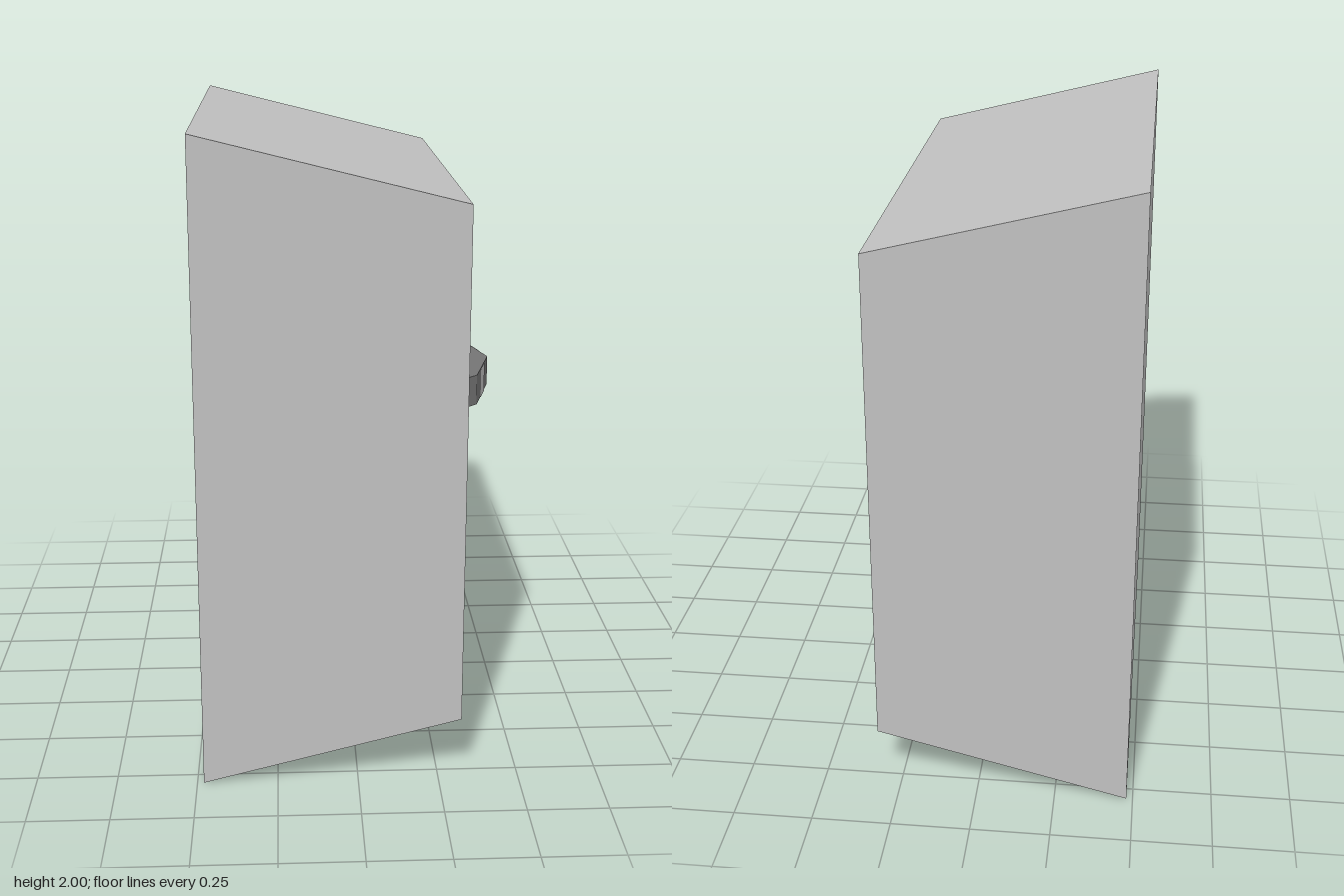
import * as THREE from 'three';

const material = (name, color, extra = {}) => {
  const m = new THREE.MeshStandardMaterial({ color, ...extra });
  m.name = name;
  return m;
};

export function createModel() {
  const model = new THREE.Group();
  model.name = 'utilityMeter';
  const casing = material('casing grey', 0xc0c0c0, { side: THREE.DoubleSide });
  const dark = material('dark grey', 0x747474, { flatShading: true });
  const red = material('red', 0x9a2c2c, { flatShading: true });

  const add = (parent, name, geometry, mat) => {
    const mesh = new THREE.Mesh(geometry, mat);
    mesh.name = name;
    parent.add(mesh);
    return mesh;
  };
  const group = (name) => {
    const g = new THREE.Group();
    g.name = name;
    model.add(g);
    return g;
  };
  const points = (list) => list.map(([x, y]) => new THREE.Vector2(x, y));
  // Flat shape on the +x face: shape x runs towards -z
  const onPanel = (shape, x) => new THREE.ShapeGeometry(shape).rotateY(Math.PI / 2).translate(x, 0, 0);
  const rect = (u0, y0, u1, y1) => [[u0, y0], [u1, y0], [u1, y1], [u0, y1]];

  // Hollow casing: a tapered profile with end walls, sloping top and bottom, and a back
  const profile = [[-0.48, 0], [0.32, 0.2], [0.32, 1.8], [-0.48, 2]];
  const quad = (corners) => {
    const g = new THREE.BufferGeometry();
    const order = [0, 1, 2, 0, 2, 3].flatMap((i) => corners[i]);
    g.setAttribute('position', new THREE.Float32BufferAttribute(order, 3));
    g.computeVertexNormals();
    return g;
  };
  const shell = group('casing');
  const end = (z) => profile.map(([x, y]) => [x, y, z]);
  add(shell, 'frontWall', quad(end(0.8)), casing);
  add(shell, 'rearWall', quad(end(-0.8).reverse()), casing);
  ['bottomWall', null, 'topWall', 'backWall'].forEach((name, i) => {
    if (!name) return;
    const a = profile[i], b = profile[(i + 1) % 4];
    add(shell, name, quad([[...a, 0.8], [...a, -0.8], [...b, -0.8], [...b, 0.8]]), casing);
  });

  // Face panel with counter, disc and pointer openings
  const panel = new THREE.Shape(points(rect(-0.8, 0.2, 0.8, 1.8)));
  panel.holes = [
    rect(-0.6, 1.4, 0.6, 1.6),
    rect(-0.4, 1.0, 0.4, 1.2),
    [[0.4, 1.25], [0.6, 1.25], [0.6, 1.35]],
  ].map((h) => new THREE.Path(points(h)));
  add(shell, 'facePanel', onPanel(panel, 0.32), casing);

  // Painted dark border around part of the panel
  const border = new THREE.Shape(points([
    [0, 1.8], [0, 1.74], [0.02, 1.725], [0.68, 1.71], [0.705, 1.68], [0.7, 0.33], [0.68, 0.3],
    [-0.6, 0.3], [-0.68, 0.295], [-0.705, 0.32], [-0.71, 0.78], [-0.72, 0.8], [-0.725, 0.98],
    [-0.74, 1.0], [-0.8, 1.0], [-0.8, 0.2], [0.8, 0.2], [0.8, 1.8],
  ]));
  add(shell, 'panelBorder', onPanel(border, 0.322), dark);

  // Ten-sided counter drums with a pale mark on every face, the last one red
  const counter = group('counter');
  const drumRadius = 0.129;
  const apothem = drumRadius * Math.cos(Math.PI / 10);
  for (let i = 0; i < 8; i++) {
    const drum = new THREE.Group();
    drum.name = `counterDrum${i + 1}`;
    drum.position.set(0.333 - apothem, 1.5, 0.375 - i * 0.125);
    counter.add(drum);
    const body = new THREE.CylinderGeometry(drumRadius, drumRadius, 0.08, 10).rotateX(Math.PI / 2);
    add(drum, 'drumBody', body, i === 7 ? red : dark);
    for (let k = 0; k < 10; k++) {
      const mark = new THREE.CircleGeometry(1, 12).scale(0.024, 0.03, 1)
        .rotateY(Math.PI / 2).translate(apothem + 0.002, 0, 0).rotateZ((k * Math.PI) / 5);
      add(drum, 'drumMark', mark, casing);
    }
  }
  const dot = new THREE.BoxGeometry(0.02, 0.04, 0.04).translate(0.32, 1.4, -0.435);
  add(counter, 'decimalMarker', dot, red);

  // Twelve-sided horizontal disc with pale stripes on the rim
  const wheel = (name, radius, height, x, y, z) => {
    const g = group(name);
    g.position.set(x, y, z);
    add(g, 'wheelBody', new THREE.CylinderGeometry(radius, radius, height, 12), dark);
    const inner = radius * Math.cos(Math.PI / 12);
    const width = (2 * radius * Math.sin(Math.PI / 12)) / 3;
    for (let k = 0; k < 12; k++) {
      const stripe = new THREE.PlaneGeometry(width, height)
        .translate(0, 0, inner + 0.002).rotateY(((k + 0.5) * Math.PI) / 6);
      add(g, 'rimStripe', stripe, casing);
    }
  };
  wheel('spinningDisc', 0.48, 0.1, 0, 1.1, 0);
  // Small striped wheel behind the triangular opening
  wheel('pointerWheel', 0.12, 0.12, 0.19, 1.3, -0.5);

  return model;
}
